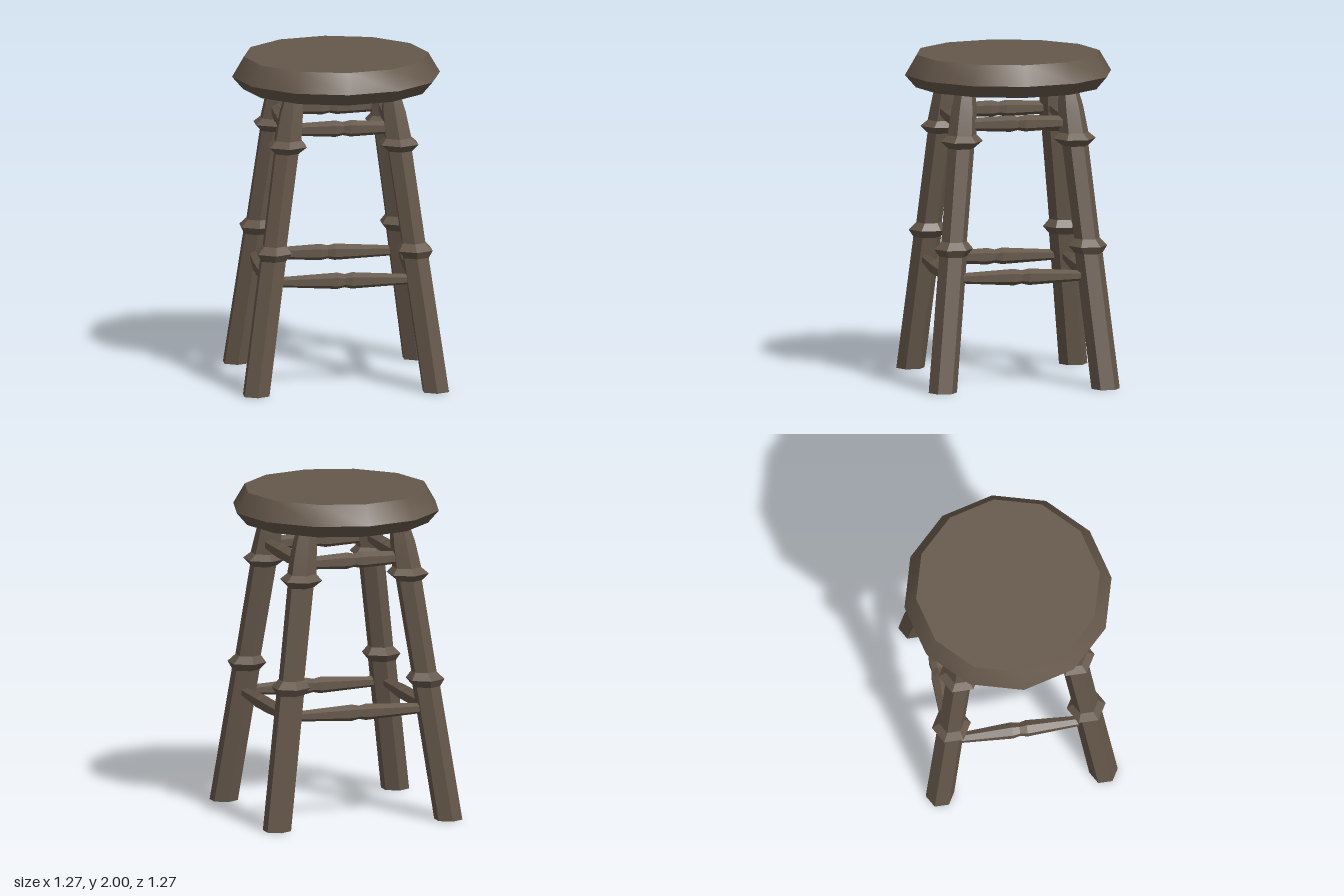
import * as THREE from 'three';
import { toCreasedNormals } from 'three/addons/utils/BufferGeometryUtils.js';

const wood = new THREE.MeshStandardMaterial({ color: 0x65574a });
wood.name = 'dark brown wood';

// Leg axis offset from the centre at height y (legs splay outwards)
const legX = (y) => 0.55 - 0.1375 * y;
const legZ = (y) => 0.503 - 0.102 * y;

// Faceted turning: profile is a list of [radius, height], closed at both ends
function turned(profile, sides) {
  const pts = profile.map(([r, y]) => new THREE.Vector2(r, y));
  pts.unshift(new THREE.Vector2(0, pts[0].y));
  pts.push(new THREE.Vector2(0, pts[pts.length - 1].y));
  return new THREE.LatheGeometry(pts, sides);
}

function addPart(group, geometry, crease, name) {
  const mesh = new THREE.Mesh(toCreasedNormals(geometry, crease), wood);
  mesh.name = name;
  group.add(mesh);
  return mesh;
}

export function createModel() {
  const stool = new THREE.Group();
  stool.name = 'stool';

  // Twelve-sided seat with a bevelled rim
  const seat = turned([[0.57, 1.8], [0.637, 1.877], [0.565, 2]], 12);
  addPart(stool, seat, 0.65, 'seat');

  // Four hexagonal legs with two collars, sheared outwards
  const legProfile = [
    [0.0875, 0], [0.086, 0.82], [0.12, 0.865], [0.079, 0.91],
    [0.081, 1.47], [0.131, 1.513], [0.09, 1.55], [0.078, 1.71], [0.058, 1.82],
  ];
  for (const sx of [-1, 1]) {
    for (const sz of [-1, 1]) {
      const leg = turned(legProfile, 6);
      const p = leg.attributes.position;
      for (let i = 0; i < p.count; i++) {
        const y = p.getY(i);
        p.setX(i, p.getX(i) + sx * legX(y));
        p.setZ(i, p.getZ(i) + sz * legZ(y));
      }
      addPart(stool, leg, 0.1, (sz > 0 ? 'front' : 'back') + (sx > 0 ? 'Left' : 'Right') + 'Leg');
    }
  }

  // Turned stretchers: a thick middle with a small waist, joining neighbouring legs
  const rails = [
    { name: 'lowerStretcher', y: 0.685, end: 0.028 },
    { name: 'upperStretcher', y: 1.61, end: 0.036 },
  ];
  for (const { name, y, end } of rails) {
    for (const alongX of [true, false]) {
      const half = alongX ? legX(y) : legZ(y);
      const offset = alongX ? legZ(y) : legX(y);
      for (const side of [-1, 1]) {
        const rod = turned([[end, -half], [0.051, -0.045], [0.041, 0], [0.051, 0.045], [end, half]], 6);
        rod.rotateX(Math.PI / 2);
        if (alongX) rod.rotateY(Math.PI / 2);
        rod.translate(alongX ? 0 : side * offset, y, alongX ? side * offset : 0);
        addPart(stool, rod, 0.1, name);
      }
    }
  }
  return stool;
}
